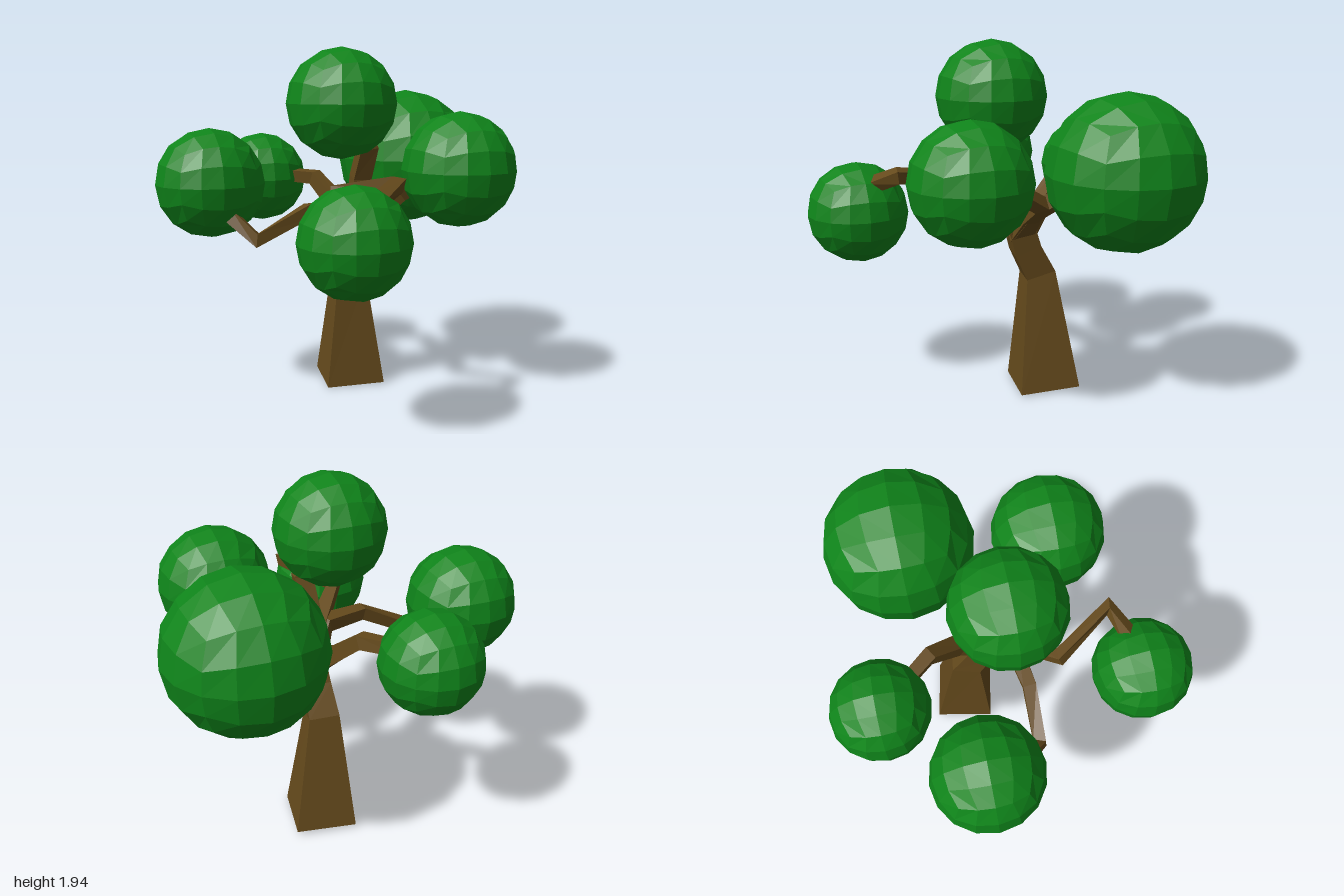
import * as THREE from 'three';

const bark = new THREE.MeshStandardMaterial({ color: 0x654a1c, flatShading: true });
const leaf = new THREE.MeshStandardMaterial({ color: 0x0f841a, flatShading: true });

// Square limb swept along points [x, y, z, width], with mitred bends and capped ends.
function limb(name, pts, side) {
  const p = pts.map(([x, y, z]) => new THREE.Vector3(x, y, z));
  const n = p.length;
  const dirs = p.slice(1).map((q, i) => q.clone().sub(p[i]).normalize());
  const u = side.clone();
  const pos = [];
  const idx = [];
  p.forEach((c, i) => {
    const t = dirs[Math.max(i - 1, 0)].clone().add(dirs[Math.min(i, n - 2)]).normalize();
    u.addScaledVector(t, -u.dot(t)).normalize();
    const v = t.clone().cross(u);
    const h = pts[i][3] / 2;
    for (const [a, b] of [[-1, -1], [1, -1], [1, 1], [-1, 1]]) {
      pos.push(...c.clone().addScaledVector(u, a * h).addScaledVector(v, b * h).toArray());
    }
    if (i === 0) return;
    for (let k = 0; k < 4; k++) {
      const a = (i - 1) * 4 + k;
      const b = (i - 1) * 4 + (k + 1) % 4;
      idx.push(a, b, b + 4, a, b + 4, a + 4);
    }
  });
  const e = (n - 1) * 4;
  idx.push(0, 2, 1, 0, 3, 2, e, e + 1, e + 2, e, e + 2, e + 3);
  const g = new THREE.BufferGeometry();
  g.setAttribute('position', new THREE.Float32BufferAttribute(pos, 3));
  g.setIndex(idx);
  g.computeVertexNormals();
  const mesh = new THREE.Mesh(g, bark);
  mesh.name = name;
  return mesh;
}

// Faceted ball: a 4 x 4 x 4 box pushed out to a sphere with even angular steps.
function foliageGeometry() {
  const g = new THREE.BoxGeometry(2, 2, 2, 4, 4, 4);
  const a = g.attributes.position;
  const v = new THREE.Vector3();
  const even = (s) => Math.tan(s * Math.PI / 4);
  for (let i = 0; i < a.count; i++) {
    v.fromBufferAttribute(a, i);
    v.set(even(v.x), even(v.y), even(v.z)).normalize();
    a.setXYZ(i, v.x, v.y, v.z);
  }
  g.computeVertexNormals();
  return g;
}

export function createModel() {
  const tree = new THREE.Group();
  tree.name = 'tree';

  // Trunk, continuing up into the crown
  tree.add(limb('trunk', [
    [0.125, 0.012, -0.255, 0.335],
    [0.105, 0.67, -0.22, 0.165],
    [0.11, 0.82, -0.14, 0.15],
    [0.12, 0.98, -0.09, 0.14],
    [0.105, 1.23, -0.06, 0.1],
    [0.12, 1.4, 0, 0.1],
    [0.05, 1.55, 0, 0.09],
  ], new THREE.Vector3(0.33, 0, 0.06)));

  // Branches, each ending inside its foliage ball
  const branches = {
    frontBranch: [[0.1, 0.95, -0.1, 0.14], [0.02, 1.08, 0.02, 0.09], [-0.17, 1.19, 0.25, 0.07],
      [0.03, 1.26, 0.55, 0.07], [-0.13, 1.19, 0.64, 0.07]],
    rightBranch: [[0.11, 0.94, -0.1, 0.13], [-0.02, 1.08, 0.03, 0.09], [-0.26, 1.08, 0.07, 0.07],
      [-0.54, 0.94, 0.07, 0.07], [-0.66, 1.07, -0.06, 0.07]],
    backBranch: [[0.12, 0.92, -0.1, 0.14], [0.06, 1.04, -0.25, 0.09], [-0.03, 1.2, -0.42, 0.075],
      [-0.2, 1.21, -0.62, 0.065]],
    leftBranch: [[0.12, 0.93, -0.1, 0.14], [0.24, 1.03, -0.1, 0.09], [0.38, 1.12, -0.1, 0.075],
      [0.49, 1.25, 0.12, 0.065]],
    leftBackBranch: [[0.12, 0.93, -0.1, 0.13], [0.25, 1.05, -0.12, 0.09], [0.37, 1.14, -0.2, 0.08],
      [0.52, 1.25, -0.38, 0.07]],
  };
  for (const [name, pts] of Object.entries(branches)) {
    const d = new THREE.Vector3(pts[1][0] - pts[0][0], 0, pts[1][2] - pts[0][2]);
    tree.add(limb(name, pts, new THREE.Vector3(d.z, 0, -d.x)));
  }

  // Foliage balls: [x, y, z, radius]
  const ball = foliageGeometry();
  const foliage = {
    topFoliage: [-0.035, 1.64, 0, 0.3],
    leftBackFoliage: [0.59, 1.3, -0.465, 0.407],
    leftFoliage: [0.505, 1.293, 0.33, 0.309],
    frontFoliage: [-0.265, 1.015, 0.695, 0.275],
    rightFoliage: [-0.705, 1.215, -0.24, 0.296],
    backFoliage: [-0.265, 1.185, -0.713, 0.265],
  };
  for (const [name, [x, y, z, r]] of Object.entries(foliage)) {
    const mesh = new THREE.Mesh(ball, leaf);
    mesh.name = name;
    mesh.position.set(x, y, z);
    mesh.scale.setScalar(r);
    tree.add(mesh);
  }
  return tree;
}
